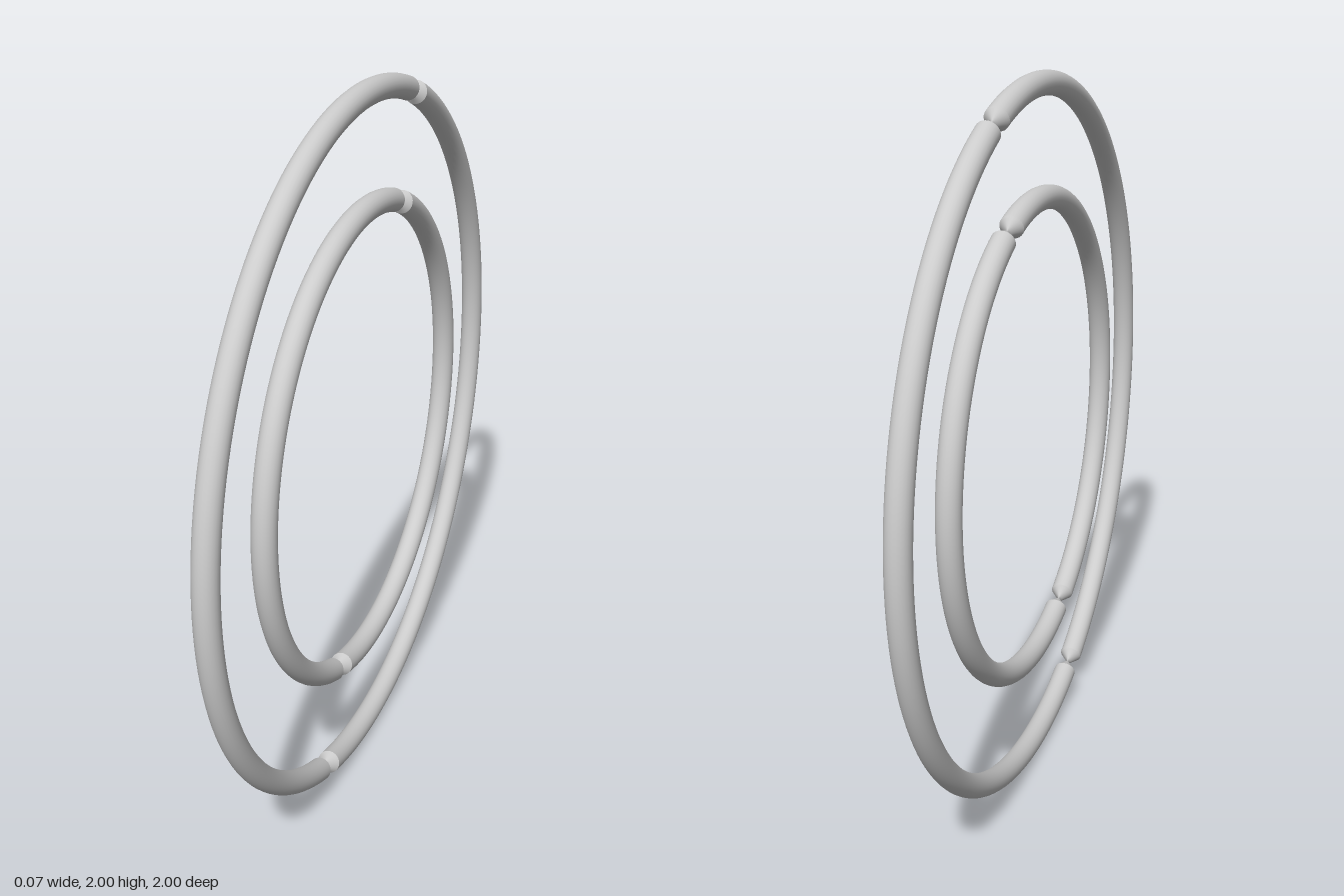
import * as THREE from 'three';

const TUBE = 0.033;        // tube radius
const NECK = 0.034;        // half length of each pinched joint
const JOINT = THREE.MathUtils.degToRad(69.8); // direction of the joints

const material = new THREE.MeshStandardMaterial({ color: 0xcccccc });

// Short stretch of tube that narrows to a thin waist in its middle
function neckGeometry(radius, half) {
  const geo = new THREE.TorusGeometry(radius, TUBE, 24, 12, half * 2);
  const pos = geo.attributes.position;
  for (let i = 0; i < pos.count; i++) {
    const x = pos.getX(i), y = pos.getY(i);
    const angle = Math.atan2(y, x);
    const t = Math.min(1, Math.abs(angle - half) / half);
    const r = radius + (Math.hypot(x, y) - radius) * THREE.MathUtils.lerp(0.28, 1, t);
    pos.setXYZ(i, Math.cos(angle) * r, Math.sin(angle) * r,
      pos.getZ(i) * THREE.MathUtils.lerp(0.06, 1, t));
  }
  geo.computeVertexNormals();
  return geo;
}

// Two half hoops joined by two opposite pinched necks
function ring(name, radius) {
  const group = new THREE.Group();
  group.name = name;
  const half = NECK / radius;
  const arcGeo = new THREE.TorusGeometry(radius, TUBE, 24, 80, Math.PI - half * 2);
  const neckGeo = neckGeometry(radius, half);
  for (let i = 0; i < 2; i++) {
    const angle = JOINT + i * Math.PI;
    const arc = new THREE.Mesh(arcGeo, material);
    arc.name = 'halfHoop';
    arc.rotation.z = angle + half;
    const neck = new THREE.Mesh(neckGeo, material);
    neck.name = 'pinchedJoint';
    neck.rotation.z = angle - half;
    group.add(arc, neck);
  }
  return group;
}

export function createModel() {
  const model = new THREE.Group();
  model.name = 'concentricRings';
  model.add(ring('outerRing', 0.967), ring('innerRing', 0.668));
  // Stand the rings upright in the side plane
  model.rotation.y = Math.PI / 2;
  model.position.y = 1;
  return model;
}
